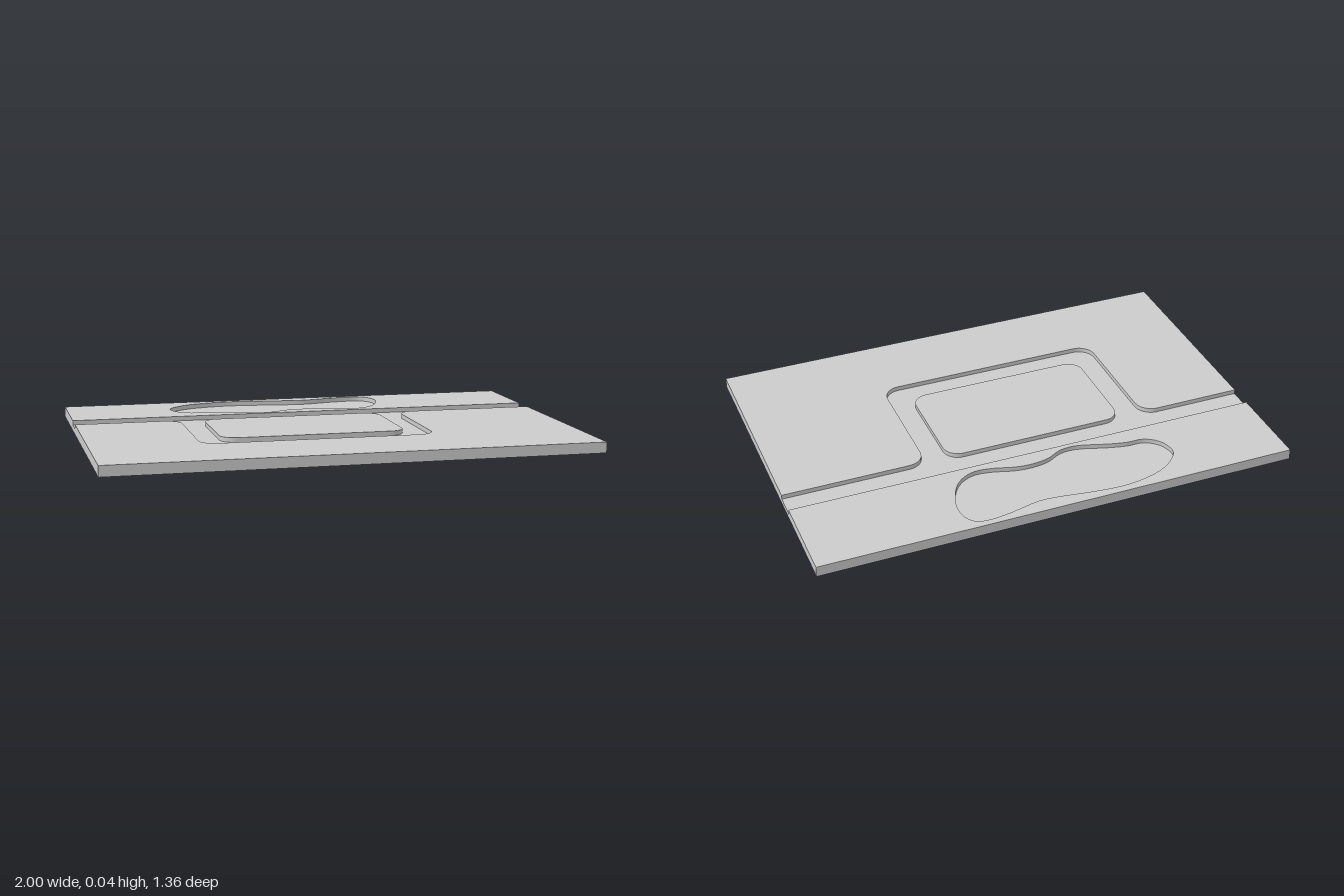
import * as THREE from 'three';
import { toCreasedNormals } from 'three/addons/utils/BufferGeometryUtils.js';

const TOP = 0.044, LOW = 0.025, DEPTH = 0.68;
const material = new THREE.MeshStandardMaterial({ color: 0xcccccc, side: THREE.DoubleSide });
const v = (x, z) => new THREE.Vector2(x, -z); // plan points: shape y is -z

// Polyline whose inner points are rounded with radius r
function roundedLine(pts, r) {
  const path = new THREE.Path();
  path.moveTo(pts[0].x, pts[0].y);
  for (let i = 1; i < pts.length - 1; i++) {
    const p = pts[i];
    const toward = (q) => p.clone().add(q.clone().sub(p).setLength(r));
    const a = toward(pts[i - 1]), b = toward(pts[i + 1]);
    const k = 0.55; // near-circular corner
    const ca = a.clone().lerp(p, k), cb = b.clone().lerp(p, k);
    path.lineTo(a.x, a.y);
    path.bezierCurveTo(ca.x, ca.y, cb.x, cb.y, b.x, b.y);
  }
  const end = pts[pts.length - 1];
  path.lineTo(end.x, end.y);
  return path.getPoints(8);
}

// Flat sheet at height y, with optional holes
function sheet(name, outline, y, holes = []) {
  const shape = new THREE.Shape(outline);
  holes.forEach((h) => shape.holes.push(new THREE.Path(h)));
  const geometry = new THREE.ShapeGeometry(shape).rotateX(-Math.PI / 2).translate(0, y, 0);
  const mesh = new THREE.Mesh(geometry, material);
  mesh.name = name;
  return mesh;
}

// Upright wall along a plan line; it faces the right of the direction of travel
function wall(name, line, y0, y1) {
  const pos = [], index = [];
  line.forEach((p, i) => {
    pos.push(p.x, y0, -p.y, p.x, y1, -p.y);
    if (i) {
      const a = 2 * i - 2;
      index.push(a, a + 2, a + 3, a, a + 3, a + 1);
    }
  });
  const geometry = new THREE.BufferGeometry();
  geometry.setAttribute('position', new THREE.Float32BufferAttribute(pos, 3));
  geometry.setIndex(index);
  const mesh = new THREE.Mesh(toCreasedNormals(geometry, 0.6), material);
  mesh.name = name;
  return mesh;
}

export function createModel() {
  const group = new THREE.Group();
  group.name = 'terrainTile';
  const roadBack = -0.31, roadFront = -0.21;

  // Front land edge: road side with the loop bay cut into it, from +x to -x
  const bayEdge = roundedLine([
    v(1, roadFront), v(0.4, roadFront), v(0.4, 0.345),
    v(-0.56, 0.345), v(-0.56, roadFront), v(-1, roadFront),
  ], 0.07);

  // Island inside the loop, counter-clockwise
  const island = roundedLine([
    v(-0.1, 0.245), v(0.305, 0.245), v(0.305, roadFront),
    v(-0.46, roadFront), v(-0.46, 0.245), v(-0.1, 0.245),
  ], 0.065);
  const islandOutline = island.slice(0, -1);

  // Irregular pond outline, counter-clockwise
  const pond = new THREE.CatmullRomCurve3([
    [-0.555, -0.49], [-0.535, -0.433], [-0.48, -0.392], [-0.41, -0.388], [-0.33, -0.37],
    [-0.2, -0.332], [-0.13, -0.337], [-0.065, -0.37], [0.01, -0.382], [0.085, -0.375],
    [0.16, -0.353], [0.235, -0.343], [0.29, -0.36], [0.337, -0.401], [0.374, -0.475],
    [0.39, -0.555], [0.374, -0.62], [0.342, -0.647], [0.29, -0.653], [0.2, -0.641],
    [0.075, -0.614], [-0.02, -0.62], [-0.13, -0.636], [-0.267, -0.647], [-0.385, -0.631],
    [-0.47, -0.599], [-0.525, -0.556], [-0.552, -0.519],
  ].map(([x, z]) => new THREE.Vector3(x, -z, 0)), true)
    .getPoints(84).map((p) => new THREE.Vector2(p.x, p.y));
  const pondOutline = pond.slice(0, -1);

  // Raised land
  group.add(sheet('frontLand', [v(-1, DEPTH), v(1, DEPTH), ...bayEdge], TOP));
  group.add(sheet('backLand',
    [v(-1, roadBack), v(1, roadBack), v(1, -DEPTH), v(-1, -DEPTH)], TOP, [pondOutline]));
  group.add(sheet('islandTop', islandOutline, TOP));

  // Sunken floors
  group.add(sheet('roadFloor',
    [...bayEdge].reverse().concat([v(1, roadBack), v(-1, roadBack)]), LOW, [islandOutline]));
  group.add(sheet('pondFloor', pondOutline, LOW));

  // Banks between the two levels
  group.add(wall('bayBank', bayEdge, LOW, TOP));
  group.add(wall('roadBackBank', [v(-1, roadBack), v(1, roadBack)], LOW, TOP));
  group.add(wall('islandBank', island, LOW, TOP));
  group.add(wall('pondBank', [...pond].reverse(), LOW, TOP));

  // Outer skirt, open underneath
  group.add(wall('frontSkirt',
    [v(-1, roadFront), v(-1, DEPTH), v(1, DEPTH), v(1, roadFront)], 0, TOP));
  group.add(wall('backSkirt',
    [v(1, roadBack), v(1, -DEPTH), v(-1, -DEPTH), v(-1, roadBack)], 0, TOP));
  group.add(wall('leftRoadEnd', [v(1, roadFront), v(1, roadBack)], 0, LOW));
  group.add(wall('rightRoadEnd', [v(-1, roadBack), v(-1, roadFront)], 0, LOW));
  return group;
}
